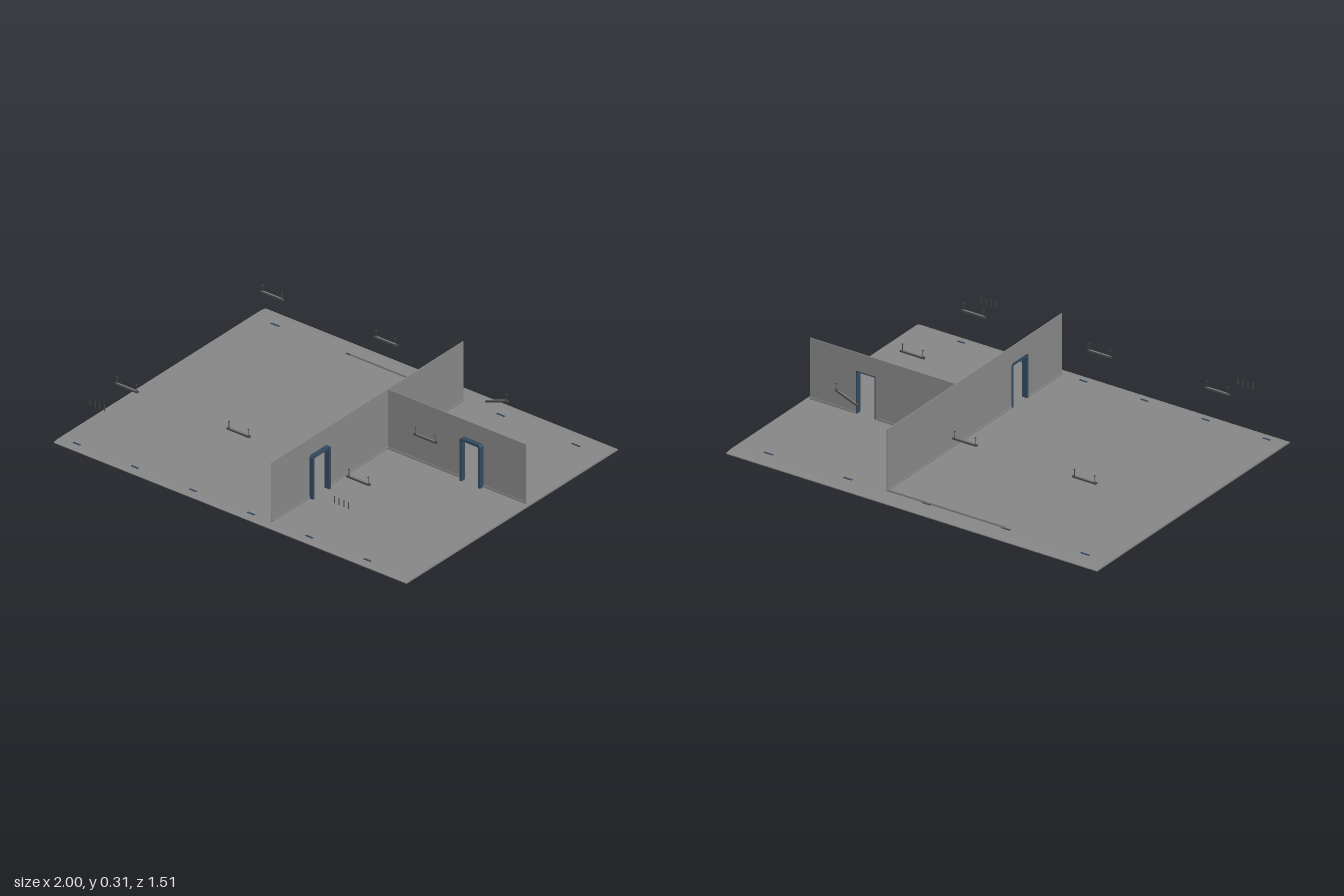
import * as THREE from 'three';

const mat = (name, color, side = THREE.FrontSide) => {
  const m = new THREE.MeshStandardMaterial({ color, side });
  m.name = name;
  return m;
};

export function createModel() {
  const grey = mat('concreteGrey', 0x868686);
  const navy = mat('steelBlue', 0x34495e);
  const dark = mat('darkMetal', 0x484848);
  const model = new THREE.Group();
  model.name = 'floorPlan';

  const add = (name, geometry, material, parent = model) => {
    const mesh = new THREE.Mesh(geometry, material);
    mesh.name = name;
    parent.add(mesh);
    return mesh;
  };
  const box = (name, size, pos, material, parent) => {
    const mesh = add(name, new THREE.BoxGeometry(...size), material, parent);
    mesh.position.set(...pos);
    return mesh;
  };
  const extrude = (name, points, depth, material, parent) => {
    const shape = new THREE.Shape(points.map(([x, y]) => new THREE.Vector2(x, y)));
    return add(name, new THREE.ExtrudeGeometry(shape, { depth, bevelEnabled: false }), material, parent);
  };

  // Floor slab with sloped front and back edges
  const slab = extrude('floorSlab', [
    [-0.755, 0.001], [0.755, 0.001], [0.755, 0.005], [0.735, 0.01], [-0.718, 0.01], [-0.755, 0.005],
  ], 2, grey);
  slab.rotation.y = -Math.PI / 2;
  slab.position.x = 1;

  // Partition wall with a doorway, frame and baseboards, drawn along local x
  const partition = (name, start, end, d0, d1, frameZ) => {
    const wall = new THREE.Group();
    wall.name = name;
    model.add(wall);
    const top = 0.315, head = 0.224, t = 0.004, base = 0.002;
    const panel = extrude(name + 'Panel', [
      [start, base], [d0, base], [d0, head], [d1, head], [d1, base], [end, base], [end, top], [start, top],
    ], t, grey, wall);
    panel.position.z = -t / 2;

    // Door frame with chamfered upper corners
    const w = 0.012, c = 0.009, o0 = d0 - 0.006, o1 = d1 + 0.006, oh = 0.23;
    const frame = extrude(name + 'DoorFrame', [
      [o0, 0.005], [o0 + w, 0.005], [o0 + w, oh - w - 0.004], [o0 + w + 0.004, oh - w],
      [o1 - w - 0.004, oh - w], [o1 - w, oh - w - 0.004], [o1 - w, 0.005], [o1, 0.005],
      [o1, oh - c], [o1 - c, oh], [o0 + c, oh], [o0, oh - c],
    ], 0.027, navy, wall);
    frame.position.z = frameZ;

    for (const [a, b] of [[start, o0], [o1, end]])
      for (const side of [-1, 1])
        box(name + 'Baseboard', [b - a, 0.01, 0.003], [(a + b) / 2, 0.015, side * 0.0035], grey, wall);
    return wall;
  };
  const longWall = partition('longWall', -0.655, 0.71, 0.321, 0.438, -0.022);
  longWall.rotation.y = -Math.PI / 2;
  longWall.position.x = 0.2;
  const crossWall = partition('crossWall', 0.2, 0.985, 0.631, 0.737, -0.002);
  crossWall.position.z = -0.118;

  // Low kerb continuing along the back
  box('backKerb', [0.64, 0.011, 0.005], [-0.12, 0.0145, -0.657], grey);

  // Anchor plates along the back and front edges
  for (let i = 0; i < 5; i++)
    box('backAnchor', [0.046, 0.012, 0.01], [-0.87 + i * 0.4263, 0.006, -0.66], navy);
  for (let i = 0; i < 6; i++)
    box('frontAnchor', [0.04, 0.012, 0.01], [-0.905 + i * 0.3295, 0.006, 0.71], navy);

  // Hanging lamps: a bar, two thin rods and their ceiling caps
  const lamps = [
    [-0.755, -0.495], [-0.11, -0.495], [0.56, 0.067], [-0.755, 0.543], [-0.12, 0.543], [0.56, 0.543],
  ];
  const rod = (parent, x, z, low = 0.28) => {
    box('lampRod', [0.002, 0.315 - low, 0.002], [x, (0.315 + low) / 2, z], dark, parent);
    box('lampCap', [0.007, 0.003, 0.007], [x, 0.3125, z], dark, parent);
  };
  const lampBar = (parent, x, y, z) => {
    const bar = box('lampBar', [0.13, 0.007, 0.014], [x, y, z], dark, parent);
    box('lampSpine', [0.105, 0.003, 0.005], [0, 0.004, 0], grey, bar);
    return bar;
  };
  for (const [x, z] of lamps) {
    const lamp = new THREE.Group();
    lamp.name = 'hangingLamp';
    model.add(lamp);
    lampBar(lamp, x, 0.277, z);
    for (const s of [-1, 1]) rod(lamp, x + s * 0.055, z);
  }

  // One lamp has come loose at one end
  const loose = new THREE.Group();
  loose.name = 'tiltedLamp';
  model.add(loose);
  lampBar(loose, 0.585, 0.259, -0.412).rotation.z = 0.36;
  rod(loose, 0.64, -0.412);

  // Two sets of short hanging strips near the front edge
  for (const x0 of [-0.83, 0.555])
    for (let i = 0; i < 4; i++)
      box('hangingStrip', [0.003, 0.035, 0.004], [x0 + i * 0.027, 0.252, 0.71], dark);

  return model;
}
